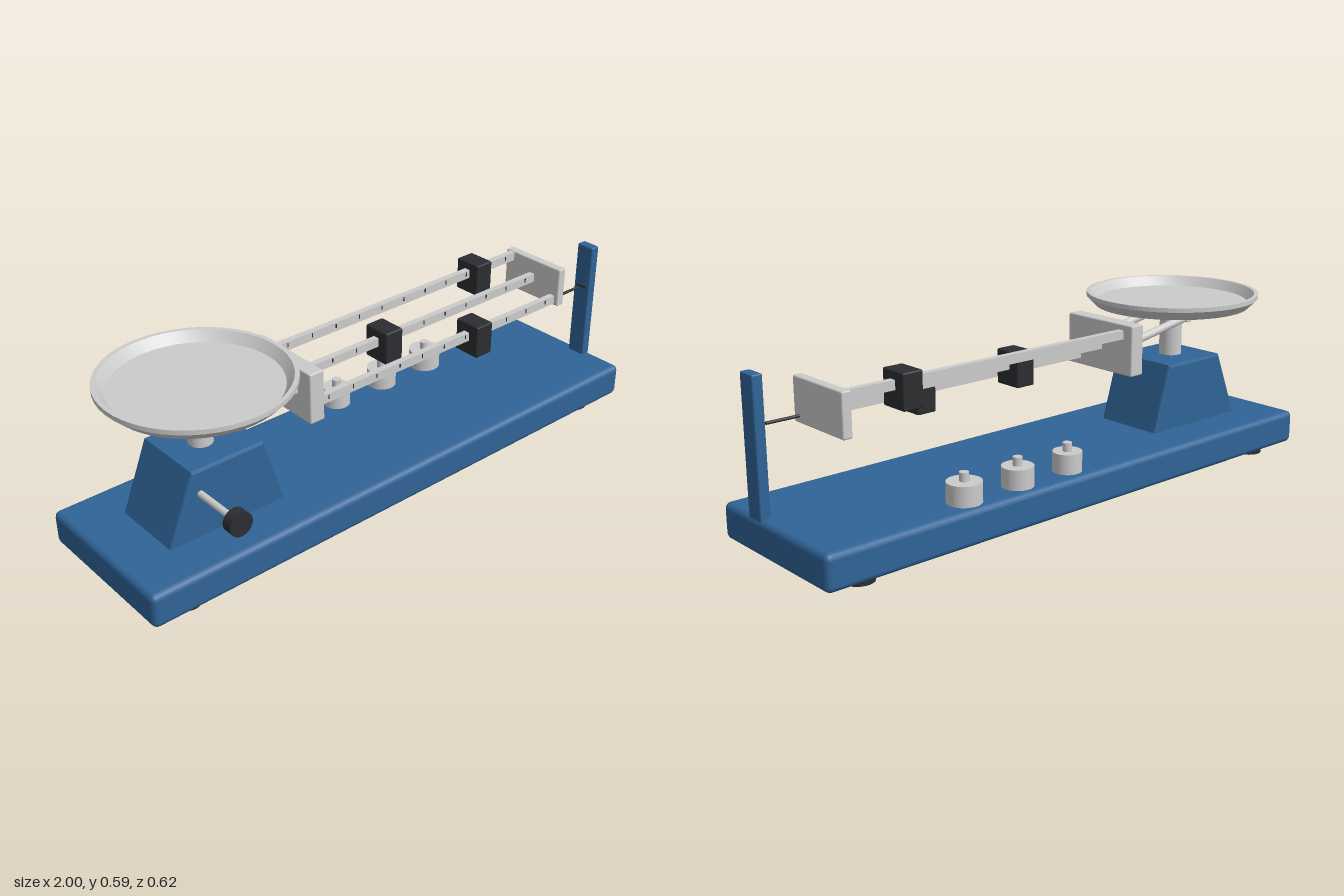
import * as THREE from 'three';
import { toCreasedNormals } from 'three/addons/utils/BufferGeometryUtils.js';
import { RoundedBoxGeometry } from 'three/addons/geometries/RoundedBoxGeometry.js';

const material = (color) => new THREE.MeshStandardMaterial({ color });

export function createModel() {
  const model = new THREE.Group();
  const blue = material(0x2f6496), metal = material(0xcccccc), dark = material(0x2b2d30);
  const Z = -0.012; // centre line of the base and pan

  const add = (name, geometry, mat, x, y, z) => {
    const mesh = new THREE.Mesh(geometry, mat);
    mesh.name = name;
    mesh.position.set(x, y, z);
    model.add(mesh);
    return mesh;
  };
  const box = (name, mat, w, h, d, x, y, z, r = 0.005) =>
    add(name, new RoundedBoxGeometry(w, h, d, 2, r), mat, x, y, z);
  const disc = (name, mat, r, y0, y1, x, z, sides = 32) =>
    add(name, new THREE.CylinderGeometry(r, r, y1 - y0, sides), mat, x, (y0 + y1) / 2, z);
  const rod = (name, mat, r, from, to, sides = 24) => {
    const a = new THREE.Vector3(...from), b = new THREE.Vector3(...to);
    const mid = a.clone().add(b).multiplyScalar(0.5);
    const mesh = add(name, new THREE.CylinderGeometry(r, r, a.distanceTo(b), sides), mat, mid.x, mid.y, mid.z);
    mesh.quaternion.setFromUnitVectors(new THREE.Vector3(0, 1, 0), b.sub(a).normalize());
    return mesh;
  };

  // Base on four feet
  box('base', blue, 1.995, 0.115, 0.548, -0.002, 0.0795, Z, 0.02);
  for (const x of [-0.845, 0.845])
    for (const z of [-0.197, 0.197]) disc('foot', dark, 0.047, 0, 0.03, x, Z + z);

  // Tapered pedestal
  const outline = new THREE.Shape([
    new THREE.Vector2(-0.845, 0.125), new THREE.Vector2(-0.421, 0.125),
    new THREE.Vector2(-0.492, 0.365), new THREE.Vector2(-0.748, 0.365),
  ]);
  add('pedestal', new THREE.ExtrudeGeometry(outline, {
    depth: 0.236, bevelEnabled: true, bevelSize: 0.008, bevelThickness: 0.008, bevelOffset: -0.008, bevelSegments: 2,
  }), blue, 0, 0, Z - 0.118);

  // Zero adjustment knob
  rod('knobShaft', metal, 0.011, [-0.725, 0.285, 0.08], [-0.725, 0.285, 0.285]);
  rod('knob', dark, 0.039, [-0.725, 0.285, 0.277], [-0.725, 0.285, 0.313]);

  // Weighing pan on its stem
  disc('panStem', metal, 0.039, 0.36, 0.546, -0.631, Z);
  const panProfile = [[0, 0.542], [0.267, 0.542], [0.298, 0.573], [0.298, 0.588],
    [0.284, 0.588], [0.26, 0.556], [0, 0.556]].map(([r, y]) => new THREE.Vector2(r, y));
  add('pan', toCreasedNormals(new THREE.LatheGeometry(panProfile, 48), 0.4), metal, -0.631, 0, Z);

  // Pivot and the two arms to the beam
  rod('pivot', metal, 0.017, [-0.625, 0.507, Z - 0.09], [-0.625, 0.507, Z + 0.09]);
  for (const z of [-0.075, 0.075])
    rod('arm', metal, 0.014, [-0.625, 0.507, Z + z], [-0.31, 0.452, Z + z]);

  // End plates of the beam
  box('innerPlate', metal, 0.054, 0.171, 0.297, -0.305, 0.4525, Z);
  box('outerPlate', metal, 0.032, 0.139, 0.25, 0.813, 0.4525, Z);

  // Three stepped beams with graduations and sliding poises
  [[0.099, 0.405, 0.41], [0, 0.4545, 0.095], [-0.099, 0.504, 0.605]].forEach(([dz, y, poiseX]) => {
    const z = Z + dz;
    add('beam', new THREE.BoxGeometry(1.1, 0.03, 0.022), metal, 0.26, y, z);
    for (let i = 0; i <= 10; i++)
      add('graduation', new THREE.BoxGeometry(0.004, 0.014, 0.002), dark, -0.23 + i * 0.098, y + 0.004, z + 0.0115);
    box('poise', dark, 0.07, 0.113, 0.099, poiseX, y * 0.95 + 0.0095, z);
  });

  // Pointer and the post it reads against
  rod('pointer', dark, 0.005, [0.82, 0.405, 0.087], [0.938, 0.405, 0.087], 12);
  box('post', blue, 0.034, 0.44, 0.067, 0.974, 0.34, 0.087);
  add('zeroMark', new THREE.BoxGeometry(0.004, 0.006, 0.04), dark, 0.956, 0.405, 0.087);

  // Loose weights in order of size
  [[0.057, 0.047], [0.263, 0.051], [0.47, 0.055]].forEach(([x, r]) => {
    disc('weight', metal, r, 0.13, 0.202, x, -0.212);
    disc('weightKnob', metal, 0.015, 0.2, 0.23, x, -0.212, 20);
  });

  return model;
}
